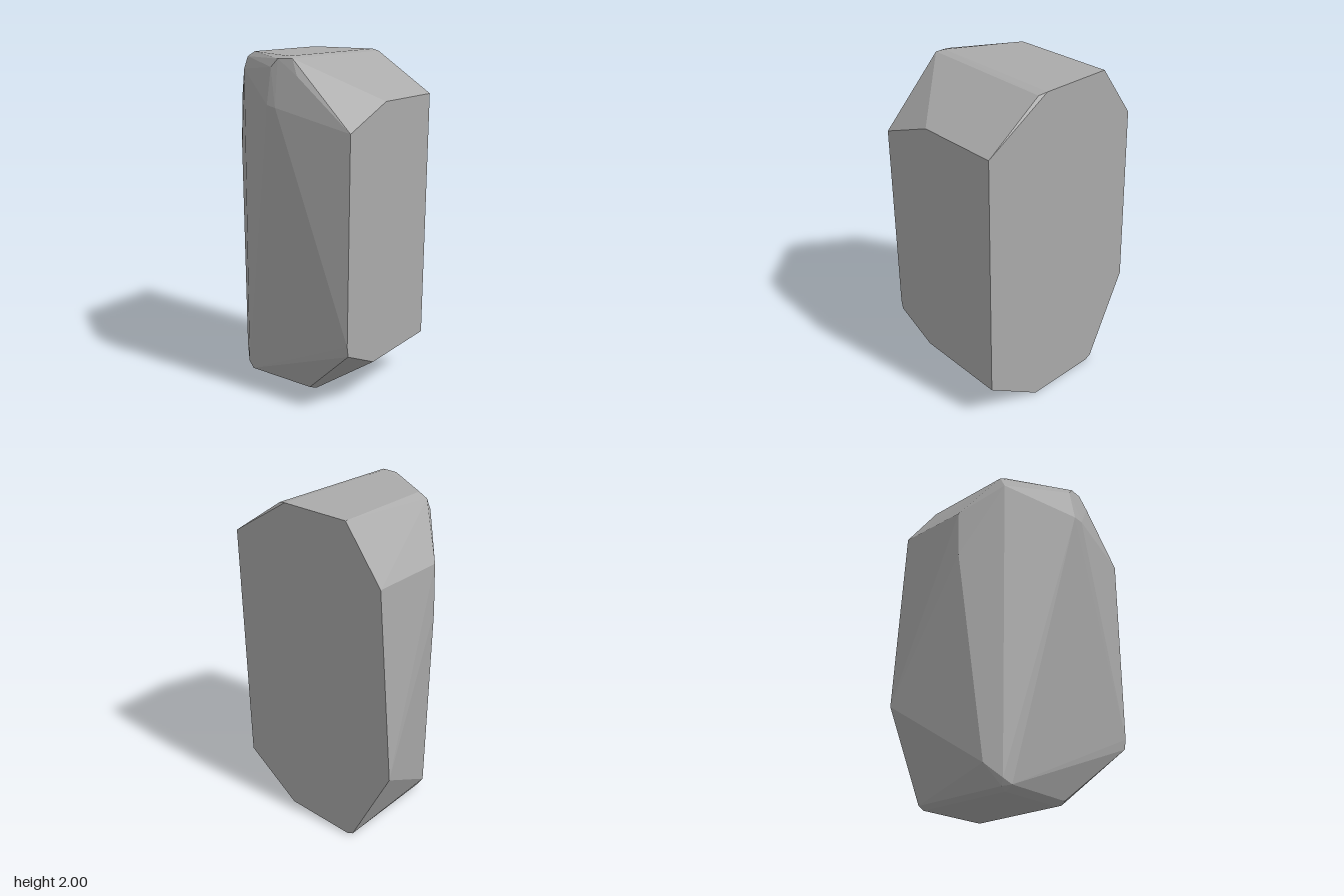
import * as THREE from 'three';
import { ConvexGeometry } from 'three/addons/geometries/ConvexGeometry.js';

export function createModel() {
  const group = new THREE.Group();
  group.name = 'rock';
  const stone = new THREE.MeshStandardMaterial({ color: 0xaaaaaa });
  stone.name = 'stone grey';

  // Corners of the faceted boulder, grouped by side
  const back = [
    [0.56, 1.755, -0.455], [0.56, 0.255, -0.455], [0.2, 0.005, -0.455], [-0.26, 0, -0.455],
    [-0.3, 0.02, -0.455], [-0.565, 0.54, -0.44], [-0.5, 1.69, -0.453],
    [-0.27, 2, -0.455], [0.16, 2, -0.455], [0.21, 1.99, -0.442],
  ];
  const flatSide = [
    [0.56, 1.755, 0.04], [0.56, 1.62, 0.39], [0.56, 0.44, 0.395],
    [0.56, 0.38, 0.385], [0.56, 0.255, 0.12],
  ];
  const roughSide = [
    [-0.5, 1.69, 0], [-0.5, 1.4, 0.01], [-0.385, 0.14, 0.125],
    [-0.31, 1.97, 0.165], [-0.31, 1.9, 0.2], [-0.31, 0.06, 0.2],
  ];
  const top = [
    [-0.26, 2, 0.16], [0.15, 2, 0.37], [0.1, 1.985, 0.405],
    [0.06, 1.94, 0.415], [0.19, 1.99, 0.395], [0.235, 1.9, 0.415],
  ];
  const front = [
    [0.06, 1.74, 0.452], [0.12, 1.73, 0.458],
    [-0.26, 0.03, 0.22], [0.18, 0.025, 0.22],
  ];
  const base = [[-0.26, 0, 0.17], [-0.3, 0.02, 0.18], [0.17, 0, 0.17], [0.2, 0.01, 0.18]];

  const points = [back, flatSide, roughSide, top, front, base]
    .flat().map((p) => new THREE.Vector3(...p));
  const boulder = new THREE.Mesh(new ConvexGeometry(points), stone);
  boulder.name = 'boulder';
  group.add(boulder);
  return group;
}
